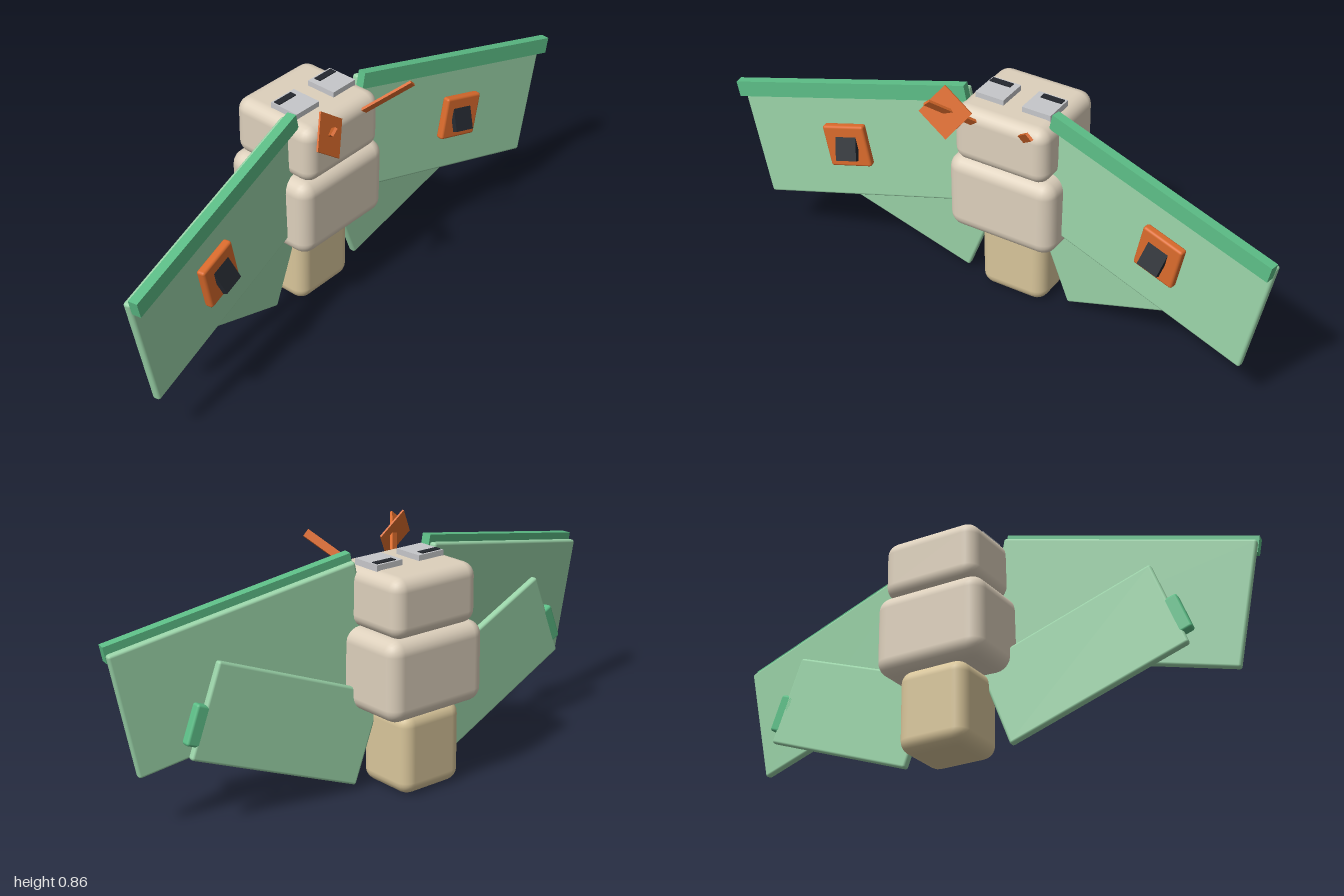
import * as THREE from 'three';
import { RoundedBoxGeometry } from 'three/addons/geometries/RoundedBoxGeometry.js';

function mat(name, color) {
  const m = new THREE.MeshStandardMaterial({ color });
  m.name = name;
  return m;
}

export function createModel() {
  const fur = mat('cream fur', 0xddd0bc);
  const tan = mat('tan abdomen', 0xd8c59a);
  const leaf = mat('pale green', 0x9ad3a8);
  const green = mat('mid green', 0x5cbd86);
  const orange = mat('orange', 0xd96a2c);
  const dark = mat('near black', 0x23272e);
  const grey = mat('light grey', 0xc6c7ca);

  const root = new THREE.Group();
  root.name = 'moth';

  // Box with optional rounded edges
  function box(parent, name, material, size, pos, radius = 0) {
    const geo = radius ? new RoundedBoxGeometry(...size, 3, radius) : new THREE.BoxGeometry(...size);
    const mesh = new THREE.Mesh(geo, material);
    mesh.name = name;
    mesh.position.set(...pos);
    parent.add(mesh);
    return mesh;
  }

  // Plate oriented by two perpendicular directions (its y and z axes)
  function aim(mesh, yDir, zDir) {
    const z = new THREE.Vector3(...zDir).normalize();
    const x = new THREE.Vector3(...yDir).cross(z).normalize();
    const y = z.clone().cross(x);
    mesh.quaternion.setFromRotationMatrix(new THREE.Matrix4().makeBasis(x, y, z));
  }

  // Body segments
  box(root, 'abdomen', tan, [0.23, 0.285, 0.25], [-0.085, 0.1425, 0], 0.045);
  box(root, 'thorax', fur, [0.345, 0.28, 0.4], [-0.057, 0.415, 0], 0.05);
  box(root, 'head', fur, [0.33, 0.205, 0.35], [-0.053, 0.6525, 0], 0.045);

  // Eyes on top of the head
  for (const [z, pz] of [[-0.092, -0.1], [0.083, 0.092]]) {
    box(root, 'eye', grey, [0.11, 0.024, 0.106], [-0.031, 0.762, z]);
    box(root, 'pupil', dark, [0.024, 0.006, 0.078], [-0.066, 0.774, pz]);
  }

  for (const s of [1, -1]) {
    const side = s > 0 ? 'front' : 'back';

    // Upper wing with leading edge and eye spot
    const upper = new THREE.Group();
    upper.name = side + 'UpperWing';
    upper.position.set(0.078, 0.478, s * 0.54);
    upper.rotation.set(s * 0.203, s * 0.175, 0);
    root.add(upper);
    box(upper, 'upperWingPanel', leaf, [0.027, 0.43, 0.86], [0, 0, 0], 0.009);
    box(upper, 'leadingEdge', green, [0.032, 0.056, 0.86], [0.03, 0.21, 0]);
    box(upper, 'wingSpot', orange, [0.03, 0.155, 0.155], [0.0275, -0.006, s * 0.063], 0.009);
    const core = box(upper, 'wingSpotCore', dark, [0.018, 0.085, 0.078], [0.05, -0.008, s * 0.058]);
    core.rotation.z = 0.42;

    // Lower wing with a tip pad
    const lower = new THREE.Group();
    lower.name = side + 'LowerWing';
    lower.position.set(0.003, 0.283, s * 0.44);
    lower.rotation.set(s * -0.372, s * 0.093, 0);
    root.add(lower);
    box(lower, 'lowerWingPanel', leaf, [0.027, 0.32, 0.645], [0, 0, 0], 0.009);
    box(lower, 'tipPad', green, [0.037, 0.135, 0.065], [0.005, -0.05, s * 0.322], 0.009);

    // Flat antenna
    const rod = box(root, side + 'Antenna', orange, [0.009, 0.028, 0.19], [0.166, 0.77, s * 0.138]);
    aim(rod, [0, 0.68, -s * 0.73], [0.63, 0.57, s * 0.53]);
  }

  // Square plate on the front antenna
  const plate = box(root, 'antennaPlate', orange, [0.006, 0.125, 0.125], [0.175, 0.772, 0.152]);
  aim(plate, [0, 0.6, 0.8], [-0.05, 0.0933, -0.07]);

  return root;
}
